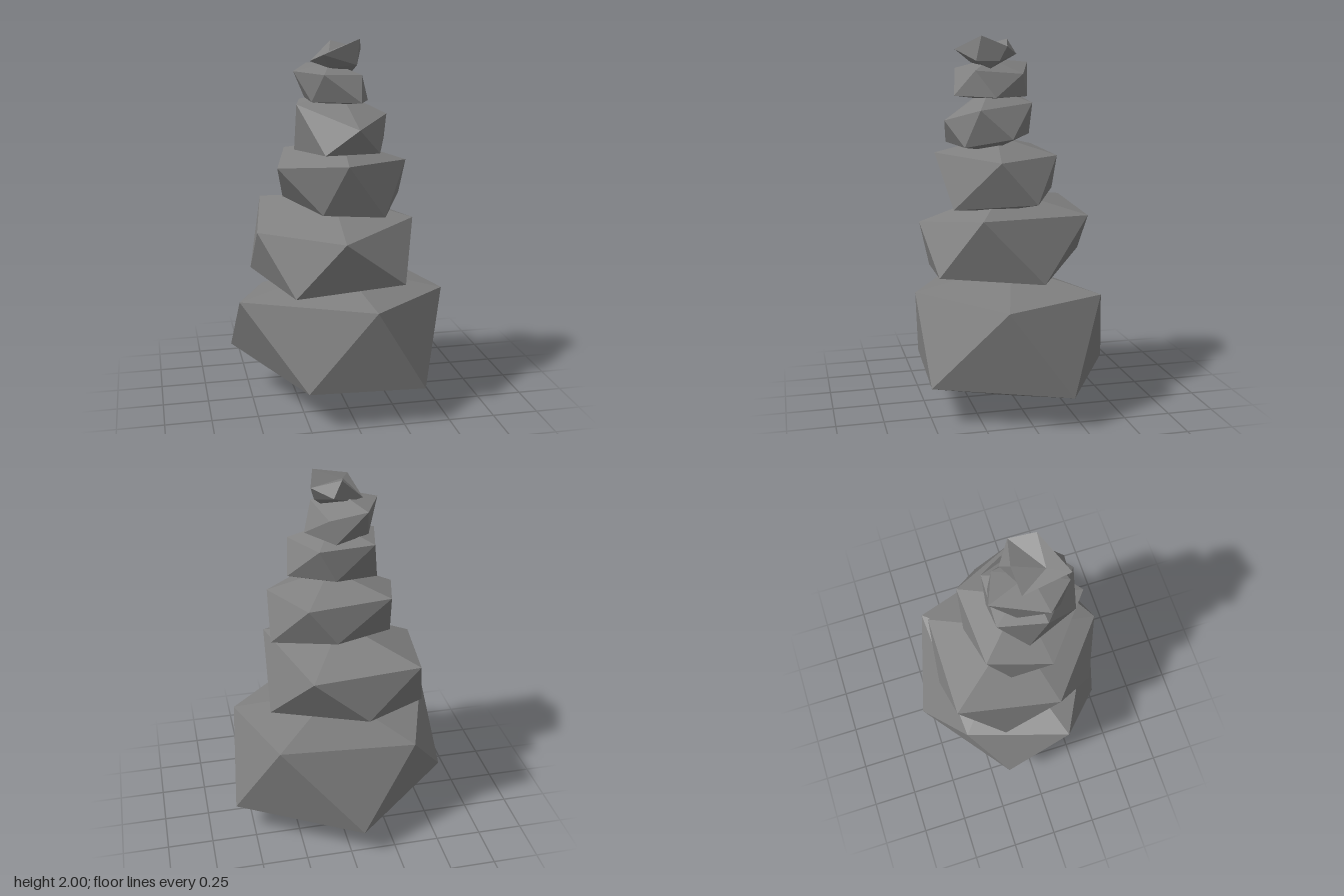
import * as THREE from 'three';

const rock = new THREE.MeshStandardMaterial({ color: 0x808080, flatShading: true });
rock.name = 'grey rock';

// Faceted stone: a bottom point, two staggered five-point rings and a top point
function stone(name, bottom, lower, upper, top) {
  const p = [];
  const tri = (a, b, c) => p.push(...a, ...b, ...c);
  for (let i = 0; i < 5; i++) {
    const j = (i + 1) % 5;
    tri(top, upper[i], upper[j]);
    tri(upper[i], lower[i], lower[j]);
    tri(lower[j], upper[j], upper[i]);
    tri(bottom, lower[j], lower[i]);
  }
  const g = new THREE.BufferGeometry();
  g.setAttribute('position', new THREE.Float32BufferAttribute(p, 3));
  g.computeVertexNormals();
  const mesh = new THREE.Mesh(g, rock);
  mesh.name = name;
  return mesh;
}

export function createModel() {
  const group = new THREE.Group();
  group.name = 'stoneStack';

  // Rings run from the front, round by +x, to the back and home by -x
  group.add(
    stone('baseStone', [0.04, 0, 0.005],
      [[-0.26, 0.21, 0.49], [0.36, 0.2, 0.51], [0.6, 0.175, -0.19], [-0.06, 0.165, -0.555], [-0.6, 0.27, -0.16]],
      [[0.09, 0.65, 0.55], [0.55, 0.63, 0.14], [0.37, 0.65, -0.4], [-0.39, 0.565, -0.35], [-0.58, 0.64, 0.2]],
      [0, 0.75, 0]),
    stone('secondStone', [-0.03, 0.65, 0],
      [[-0.31, 0.705, 0.41], [0.26, 0.76, 0.445], [0.37, 0.72, -0.095], [-0.11, 0.805, -0.42], [-0.48, 0.725, -0.145]],
      [[-0.065, 1.005, 0.5], [0.35, 1.065, 0.23], [0.18, 1.045, -0.385], [-0.39, 1.08, -0.385], [-0.475, 1.005, 0.165]],
      [-0.05, 1.17, 0.03]),
    stone('thirdStone', [0.02, 1.06, 0.06],
      [[-0.145, 1.11, 0.29], [0.17, 1.1, 0.35], [0.35, 1.14, -0.06], [0.02, 1.18, -0.225], [-0.305, 1.145, -0.06]],
      [[-0.035, 1.385, 0.415], [0.335, 1.36, 0.13], [0.17, 1.375, -0.21], [-0.275, 1.395, -0.185], [-0.36, 1.34, 0.145]],
      [0, 1.47, 0.08]),
    stone('fourthStone', [0, 1.39, 0.1],
      [[-0.14, 1.43, 0.335], [0.155, 1.425, 0.285], [0.235, 1.47, 0.045], [0, 1.48, -0.1], [-0.255, 1.42, 0.05]],
      [[0.03, 1.56, 0.37], [0.205, 1.62, 0.21], [0.09, 1.65, -0.095], [-0.2, 1.67, -0.105], [-0.255, 1.67, 0.14]],
      [-0.02, 1.73, 0.11]),
    stone('fifthStone', [-0.04, 1.66, 0.1],
      [[-0.19, 1.69, 0.22], [0.05, 1.69, 0.32], [0.13, 1.68, 0.11], [0, 1.68, -0.09], [-0.19, 1.69, 0]],
      [[-0.135, 1.83, 0.28], [0.075, 1.82, 0.21], [0.03, 1.8, -0.06], [-0.155, 1.86, -0.13], [-0.27, 1.84, 0.14]],
      [-0.07, 1.88, 0.1]),
    stone('topStone', [0.04, 1.83, 0.12],
      [[-0.1, 1.86, 0.2], [0.05, 1.87, 0.2], [0.08, 1.87, 0.08], [0, 1.905, -0.03], [-0.1, 1.86, 0.04]],
      [[-0.14, 1.93, 0.28], [0.07, 2, 0.175], [0.105, 1.945, 0.045], [-0.05, 1.985, 0.01], [-0.165, 1.88, 0.03]],
      [-0.09, 1.94, 0.17]),
  );
  return group;
}
